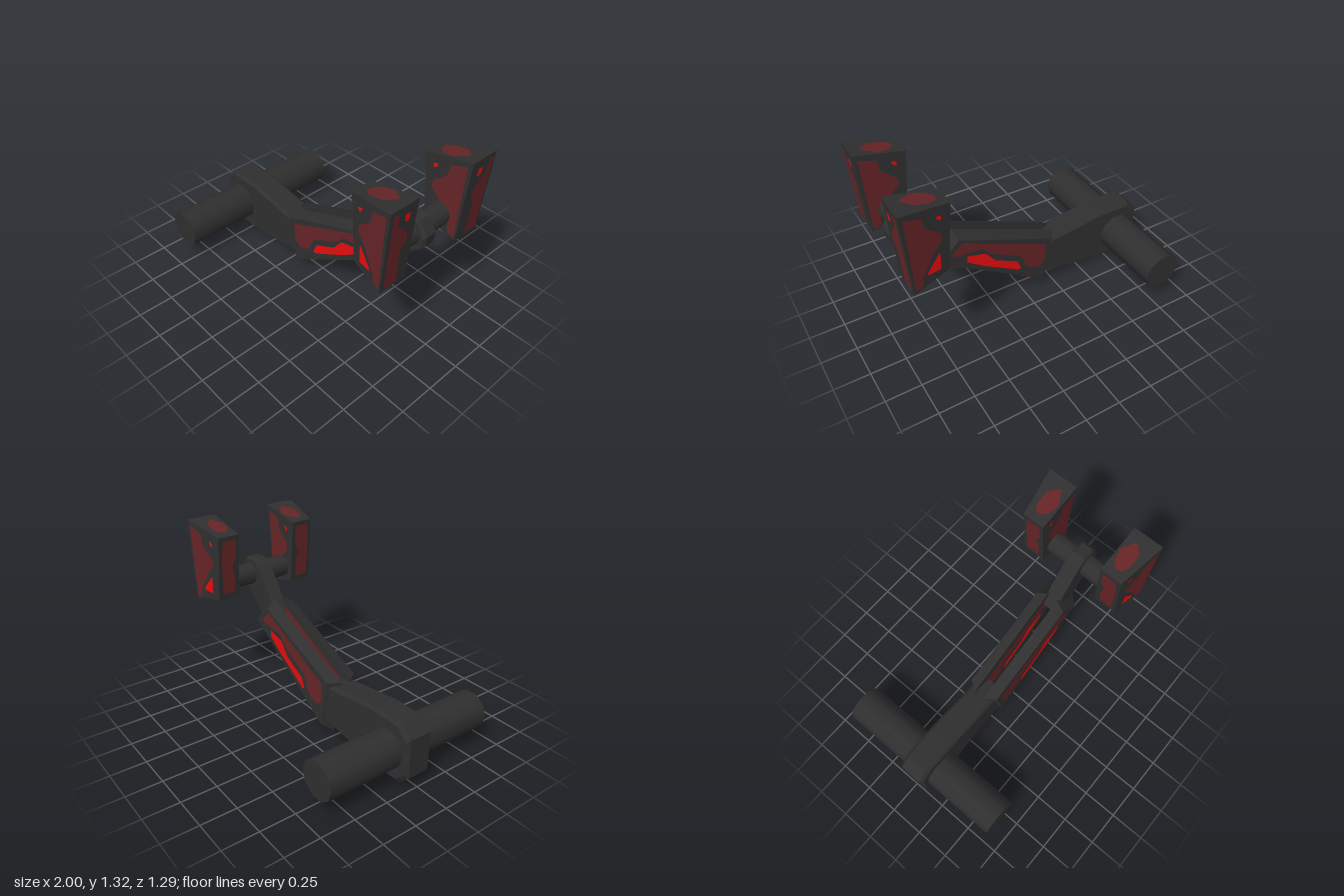
import * as THREE from 'three';
import { ConvexGeometry } from 'three/addons/geometries/ConvexGeometry.js';

const mat = (name, color, side = THREE.FrontSide) => {
  const m = new THREE.MeshStandardMaterial({ color, side });
  m.name = name;
  return m;
};

export function createModel() {
  const root = new THREE.Group();
  root.name = 'crankArm';
  const dark = mat('charcoal', 0x2f2f2f);
  const maroon = mat('darkRed', 0x662426, THREE.DoubleSide);
  const red = mat('brightRed', 0xe60c0e, THREE.DoubleSide);

  const add = (name, geometry, material, parent = root) => {
    const mesh = new THREE.Mesh(geometry, material);
    mesh.name = name;
    parent.add(mesh);
    return mesh;
  };
  const group = (name) => {
    const g = new THREE.Group();
    g.name = name;
    root.add(g);
    return g;
  };

  // Convex body through several xy outlines; depth may vary with x
  const hull = (...sections) => new ConvexGeometry(sections.flatMap(([outline, z]) =>
    outline.map(([x, y]) => new THREE.Vector3(x, y, typeof z === 'function' ? z(x) : z))));

  // Symmetric slab with chamfered outer edges
  const slab = (outline, half, bevel) => {
    const c = new THREE.Box2().setFromPoints(outline.map((p) => new THREE.Vector2(...p)))
      .getCenter(new THREE.Vector2());
    const inset = outline.map(([x, y]) =>
      [x - bevel * Math.sign(x - c.x), y - bevel * Math.sign(y - c.y)]);
    return hull([inset, half], [outline, half - bevel], [outline, bevel - half], [inset, -half]);
  };

  // Painted face: flat outline mapped into space
  const panel = (name, material, pts, to3D, parent) => {
    const flat = pts.map((p) => new THREE.Vector2(...p));
    const g = new THREE.BufferGeometry().setFromPoints(
      pts.map(([u, v]) => new THREE.Vector3(...to3D(u, v))));
    g.setIndex(THREE.ShapeUtils.triangulateShape(flat, []).flat());
    g.computeVertexNormals();
    add(name, g, material, parent);
  };

  // Hub with its long axle
  add('hub', slab([[-1, 0.11], [-1, 0.39], [-0.92, 0.465], [-0.68, 0.465], [-0.13, 0.39],
    [-0.13, 0.11], [-0.68, 0.035], [-0.92, 0.035]], 0.1, 0.02), dark);
  const rod = (name, r, length, x, y) => {
    const g = new THREE.CylinderGeometry(r, r, length, 10, 1, false, Math.PI / 2);
    add(name, g.rotateX(Math.PI / 2), dark).position.set(x, y, 0);
  };
  rod('axle', 0.137, 1.29, -0.818, 0.249);

  // Neck and the crossbar joining the two blocks
  add('neck', slab([[0.48, 0.67], [0.72, 0.975], [0.78, 1.015], [0.88, 1.0], [0.94, 0.91],
    [0.93, 0.835], [0.85, 0.77], [0.62, 0.555]], 0.055, 0.015), dark);
  rod('crossbar', 0.08, 0.5, 0.815, 0.887);

  // Side plate outlines and paint
  const plateInner = [[-0.28, 0.435], [0.52, 0.77], [0.72, 0.58], [-0.2, 0.01]];
  const plateOuter = [[-0.22, 0.43], [0.5, 0.72], [0.65, 0.585], [-0.157, 0.07]];
  const plateField = [[-0.17, 0.4], [0.48, 0.695], [0.56, 0.625], [0.55, 0.6], [0.43, 0.59],
    [0.34, 0.58], [0.28, 0.515], [0.2, 0.465], [0.04, 0.385], [-0.01, 0.27], [-0.04, 0.24],
    [-0.12, 0.22], [-0.16, 0.26]];
  const plateGlow = [[0.035, 0.27], [0.065, 0.345], [0.24, 0.435], [0.315, 0.53], [0.45, 0.565],
    [0.455, 0.515], [0.33, 0.425], [0.06, 0.265]];

  // Block outlines and paint
  const blockOutline = [[0.66, 1.265], [1.0, 1.33], [0.95, 0.735], [0.7, 0.79]];
  const sideField = [[0.855, 1.255], [0.97, 1.295], [0.94, 0.76], [0.89, 0.765], [0.885, 0.83],
    [0.79, 0.985], [0.735, 1.04], [0.74, 1.09], [0.84, 1.175]];
  const sideGlowTop = [[0.728, 1.21], [0.765, 1.222], [0.76, 1.2], [0.735, 1.18]];
  const sideGlowLow = [[0.755, 0.95], [0.77, 0.945], [0.85, 0.85], [0.845, 0.83], [0.758, 0.83]];
  const frontField = [[0.426, 1.303], [0.384, 1.303], [0.377, 1.215], [0.289, 1.12], [0.282, 1.067],
    [0.32, 1.0], [0.324, 0.926], [0.313, 0.856], [0.317, 0.75], [0.415, 0.75], [0.423, 0.926]];
  const frontGlow = [[0.331, 1.27], [0.292, 1.27], [0.289, 1.222], [0.306, 1.208], [0.331, 1.229]];
  const rearField = [[0.255, 1.235], [0.36, 1.235], [0.37, 1.1], [0.365, 0.83], [0.27, 0.83],
    [0.265, 0.95], [0.285, 1.03], [0.255, 1.1]];
  const capField = [[0.717, 0.3], [0.76, 0.26], [0.834, 0.243], [0.925, 0.297], [0.925, 0.313],
    [0.866, 0.366], [0.765, 0.366], [0.722, 0.34]];
  const outerZ = (x) => 0.39 + (x - 0.66) * 0.176;
  const lift = 0.004;

  for (const s of [1, -1]) {
    const side = s > 0 ? 'front' : 'back';

    // Tapered side plate, painted on both broad faces
    const plate = group(side + 'Plate');
    add('plateBody', hull([plateInner, s * 0.04], [plateOuter, s * 0.118]), dark, plate);
    for (const z of [0.118 + lift, 0.04 - lift]) {
      panel('plateField', maroon, plateField, (x, y) => [x, y, s * z], plate);
      panel('plateGlow', red, plateGlow, (x, y) => [x, y, s * z], plate);
    }
    // Strips along the lower chamfer, u runs from the upper end down
    const under = (u, v) => [0, 1].map((k) => THREE.MathUtils.lerp(
      THREE.MathUtils.lerp(plateInner[2][k], plateInner[3][k], u),
      THREE.MathUtils.lerp(plateOuter[2][k], plateOuter[3][k], u), v))
      .map((c, k) => c + (k ? -lift : lift * 0.6))
      .concat(s * (0.04 + 0.078 * v + 0.002));
    panel('underStripHigh', maroon, [[0.05, 0.3], [0.05, 0.8], [0.25, 0.8], [0.3, 0.3]], under, plate);
    panel('underStripLow', red, [[0.76, 0.4], [0.78, 0.7], [0.92, 0.7], [0.92, 0.4]], under, plate);

    // Wedge-shaped block, painted on all six faces
    const block = group(side + 'Block');
    add('blockBody', hull([blockOutline, s * 0.23], [blockOutline, (x) => s * outerZ(x)]), dark, block);
    const outer = (x, y) => [x, y, s * (outerZ(x) + lift)];
    const inner = (x, y) => [x, y, s * (0.23 - lift)];
    for (const map of [outer, inner]) {
      panel('sideField', maroon, sideField, map, block);
      panel('sideGlowTop', red, sideGlowTop, map, block);
      panel('sideGlowLow', red, sideGlowLow, map, block);
    }
    const right = (z, y) => [0.95 + (y - 0.735) * 0.084 + lift, y, s * z];
    panel('endField', maroon, frontField, right, block);
    panel('endGlow', red, frontGlow, right, block);
    panel('rearField', maroon, rearField,
      (z, y) => [0.7 - (y - 0.79) * 0.084 - lift, y, s * z], block);
    panel('topField', maroon, capField,
      (x, z) => [x, 1.265 + (x - 0.66) * 0.191 + lift, s * z], block);
    panel('bottomField', maroon, capField,
      (x, z) => [x, 0.79 - (x - 0.7) * 0.22 - lift, s * z], block);
  }
  return root;
}
